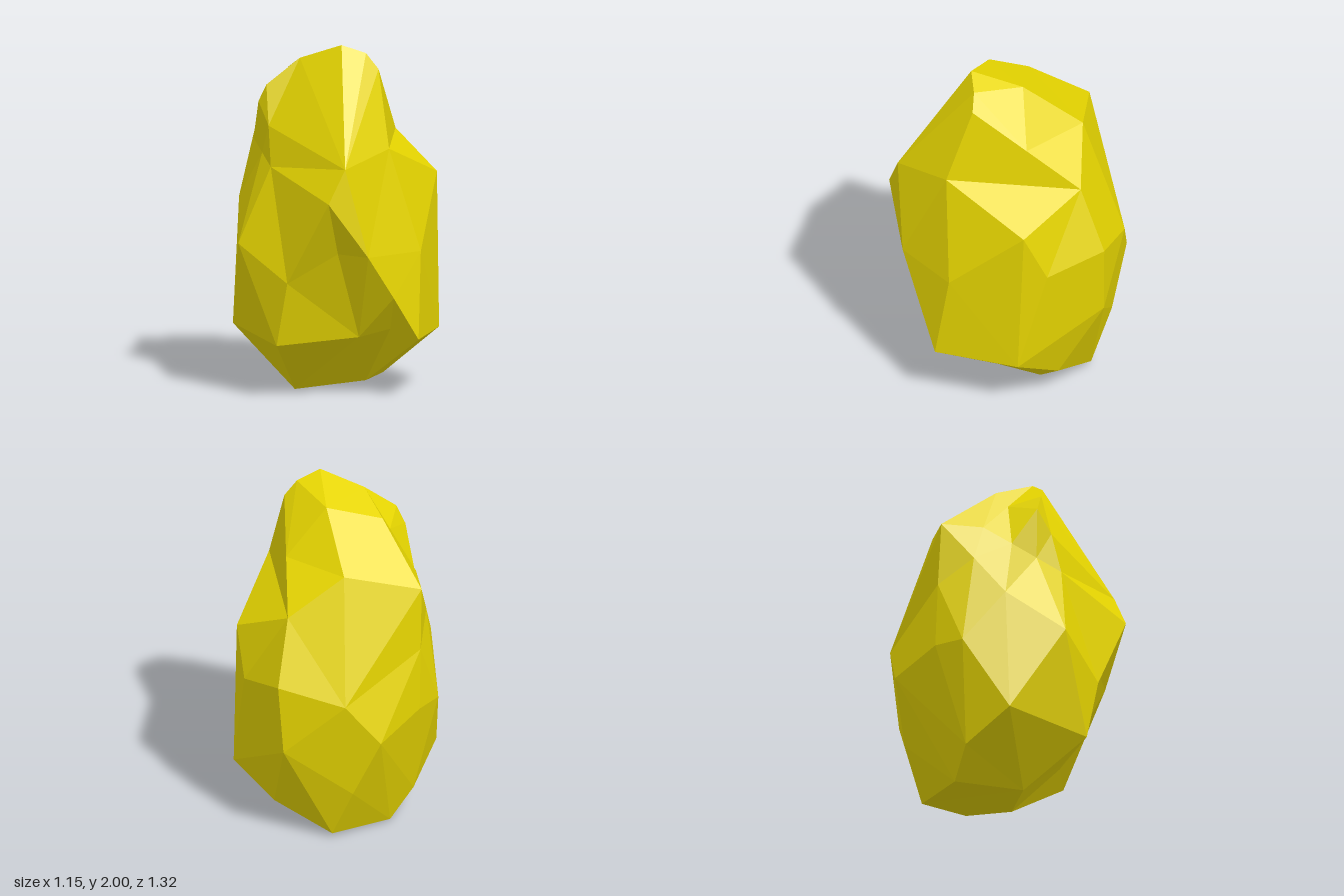
import * as THREE from 'three';
import { ConvexGeometry } from 'three/addons/geometries/ConvexGeometry.js';

// Corners of the rock, from the summit down to the underside
const corners = [
  // summit
  [0.10, 2.0, 0.19], [0.23, 1.95, 0.14], [0.30, 1.86, 0.13], [-0.15, 1.91, 0.15],
  [0.055, 1.91, -0.10], [-0.26, 1.82, -0.05], [-0.33, 1.76, 0.21],
  // shoulders
  [-0.38, 1.66, 0.19], [-0.055, 1.64, -0.42], [-0.49, 1.53, -0.345], [-0.45, 1.52, -0.11],
  [-0.44, 1.42, 0.05], [-0.28, 1.31, 0.32], [0.39, 1.43, 0.26], [0.26, 1.41, -0.49],
  [0.21, 1.36, 0.59],
  // belly
  [0.556, 1.22, -0.235], [0.13, 1.17, 0.66], [-0.53, 1.08, 0.02], [0.31, 1.04, -0.64],
  [0.51, 0.945, -0.36], [-0.07, 0.93, -0.66], [-0.46, 0.87, 0.355], [0.15, 0.86, 0.51],
  [0.33, 0.85, 0.53], [0.56, 0.84, 0.20], [-0.48, 0.78, -0.38], [-0.58, 0.77, -0.22],
  [-0.14, 0.68, 0.52], [-0.27, 0.68, -0.62], [0.28, 0.62, -0.63],
  // lower rim
  [0.40, 0.40, 0.27], [-0.56, 0.355, 0.045], [0.225, 0.35, 0.30], [0.565, 0.345, 0.28],
  [0.575, 0.335, -0.205], [-0.11, 0.33, -0.575], [-0.215, 0.31, 0.46],
  // underside
  [-0.44, 0.18, -0.21], [0.34, 0.175, -0.38], [0.20, 0.05, 0.01], [0.24, 0.05, -0.25],
  [0.01, 0.025, -0.485], [-0.31, 0.01, -0.28], [-0.19, 0, 0.10],
];

// Points midway along the creases that bound the hollows
const creases = [
  // left shoulder
  [0.28, 1.635, -0.18], [0.325, 1.42, -0.115],
  // right shoulder
  [-0.30, 1.715, 0.02], [-0.305, 1.535, 0.265], [-0.36, 1.365, 0.185],
  [-0.51, 1.305, -0.16], [-0.485, 1.155, -0.365],
  // front overhang
  [0.45, 0.60, 0.405],
];

const centre = new THREE.Vector3(0, 0.95, 0);
const size = new THREE.Vector3(0.6, 1, 0.65);
const ROUNDING = 0.1;

// Pull the points onto a near-sphere, skin them, then push them back out,
// so that the hollows of the rock survive
function rockGeometry() {
  const rounded = [...corners, ...creases].map((c) => {
    const v = new THREE.Vector3(...c).sub(centre).divide(size);
    return v.setLength(Math.pow(v.length(), ROUNDING));
  });
  const geometry = new ConvexGeometry(rounded);
  const position = geometry.attributes.position;
  const v = new THREE.Vector3();
  for (let i = 0; i < position.count; i++) {
    v.fromBufferAttribute(position, i);
    v.setLength(Math.pow(v.length(), 1 / ROUNDING)).multiply(size).add(centre);
    position.setXYZ(i, v.x, v.y, v.z);
  }
  geometry.computeVertexNormals();
  return geometry;
}

export function createModel() {
  const group = new THREE.Group();
  group.name = 'rock';
  const material = new THREE.MeshStandardMaterial({ color: 0xe6d500, flatShading: true });
  const boulder = new THREE.Mesh(rockGeometry(), material);
  boulder.name = 'boulder';
  group.add(boulder);
  return group;
}
